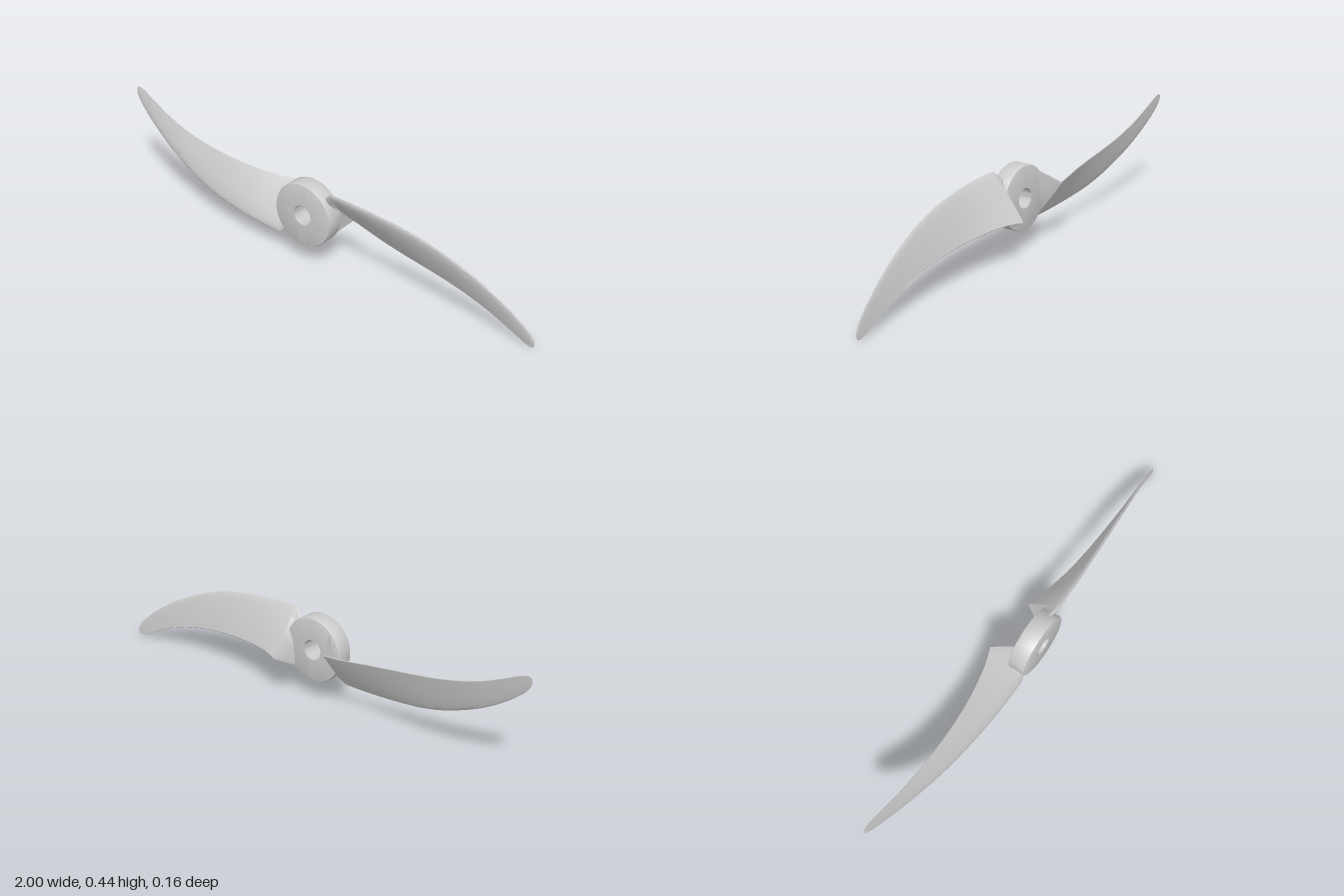
import * as THREE from 'three';
import { toCreasedNormals } from 'three/addons/utils/BufferGeometryUtils.js';

const HUB_Y = 0.223;
const material = new THREE.MeshStandardMaterial({ color: 0xcccccc });

// Blade stations: x, leading edge y z, trailing edge y z, thickness
const STATIONS = [
  [0.13, 0.356, 0.065, 0.175, -0.082, 0.024],
  [0.20, 0.355, 0.064, 0.18, -0.058, 0.023],
  [0.30, 0.349, 0.061, 0.175, -0.036, 0.021],
  [0.40, 0.338, 0.055, 0.167, -0.022, 0.019],
  [0.50, 0.321, 0.047, 0.156, -0.015, 0.018],
  [0.60, 0.293, 0.037, 0.141, -0.012, 0.016],
  [0.70, 0.252, 0.025, 0.118, -0.012, 0.014],
  [0.80, 0.201, 0.011, 0.085, -0.014, 0.012],
  [0.90, 0.134, -0.003, 0.038, -0.018, 0.009],
  [0.96, 0.084, -0.012, 0.008, -0.021, 0.007],
  [0.985, 0.057, -0.016, 0.001, -0.021, 0.006],
  [0.996, 0.04, -0.018, 0.004, -0.021, 0.005],
  [1.0, 0.027, -0.019, 0.013, -0.021, 0.003],
];
const ROOT = [0.09, 0.32, 0.045, 0.13, 0.0, 0.02];

// Airfoil ring from leading edge over the front to the trailing edge and back
function airfoil([x, ly, lz, ty, tz, t], half = 14) {
  const chord = Math.hypot(ty - ly, tz - lz);
  const ny = (tz - lz) / chord, nz = (ly - ty) / chord;
  const ring = [];
  for (let j = 0; j < 2 * half; j++) {
    const s = (1 - Math.cos((j / half) * Math.PI)) / 2;
    const h = 5 * t * (0.2969 * Math.sqrt(s) - 0.126 * s - 0.3516 * s ** 2 + 0.2843 * s ** 3 - 0.1036 * s ** 4)
      + 0.0015 * s;
    const off = j <= half ? 1.3 * h : -0.6 * h;
    ring.push([x, ly + (ty - ly) * s + ny * off - HUB_Y, lz + (tz - lz) * s + nz * off]);
  }
  return ring;
}

// Loft of airfoil rings with both ends closed
function bladeGeometry() {
  const curve = (pick) => new THREE.CatmullRomCurve3(STATIONS.map((s) => new THREE.Vector3(...pick(s))));
  const lead = curve((s) => [s[0], s[1], s[2]]);
  const trail = curve((s) => [s[5], s[3], s[4]]);
  const rings = [airfoil(ROOT)];
  const steps = (STATIONS.length - 1) * 4;
  for (let i = 0; i <= steps; i++) {
    const a = lead.getPoint(i / steps), b = trail.getPoint(i / steps);
    rings.push(airfoil([a.x, a.y, a.z, b.y, b.z, b.x]));
  }
  const n = rings[0].length, index = [];
  for (let i = 0; i < rings.length - 1; i++) {
    for (let j = 0; j < n; j++) {
      const k = (j + 1) % n;
      const a = i * n + j, d = i * n + k, b = a + n, c = d + n;
      index.push(a, d, b, d, c, b);
    }
  }
  const last = (rings.length - 1) * n;
  for (let j = 0; j < n / 2; j++) {
    const k = (n - j) % n, k1 = n - j - 1;
    index.push(j, k, j + 1, k, k1, j + 1);
    index.push(last + j, last + j + 1, last + k, last + k, last + j + 1, last + k1);
  }
  const geometry = new THREE.BufferGeometry();
  geometry.setAttribute('position', new THREE.Float32BufferAttribute(rings.flat(2), 3));
  geometry.setIndex(index);
  return toCreasedNormals(geometry, 0.6);
}

// Hub ring with softened rims and a shaft hole
function hubGeometry() {
  const R = 0.135, r = 0.042, z0 = 0.004, z1 = 0.079, e = 0.006;
  const profile = [
    [r, z0], [R - e, z0], [R - 0.3 * e, z0 + 0.3 * e], [R, z0 + e],
    [R, z1 - e], [R - 0.3 * e, z1 - 0.3 * e], [R - e, z1], [r, z1], [r, z0],
  ].map(([x, y]) => new THREE.Vector2(x, y));
  const geometry = new THREE.LatheGeometry(profile, 72);
  geometry.rotateX(Math.PI / 2);
  return toCreasedNormals(geometry, 0.6);
}

export function createModel() {
  const propeller = new THREE.Group();
  propeller.name = 'propeller';
  propeller.position.y = HUB_Y;

  const hub = new THREE.Mesh(hubGeometry(), material);
  hub.name = 'hub';
  propeller.add(hub);

  // Two blades, half a turn apart
  const geometry = bladeGeometry();
  ['leftBlade', 'rightBlade'].forEach((name, i) => {
    const blade = new THREE.Mesh(geometry, material);
    blade.name = name;
    blade.rotation.z = i * Math.PI;
    propeller.add(blade);
  });

  const model = new THREE.Group();
  model.name = 'model';
  model.add(propeller);
  return model;
}
